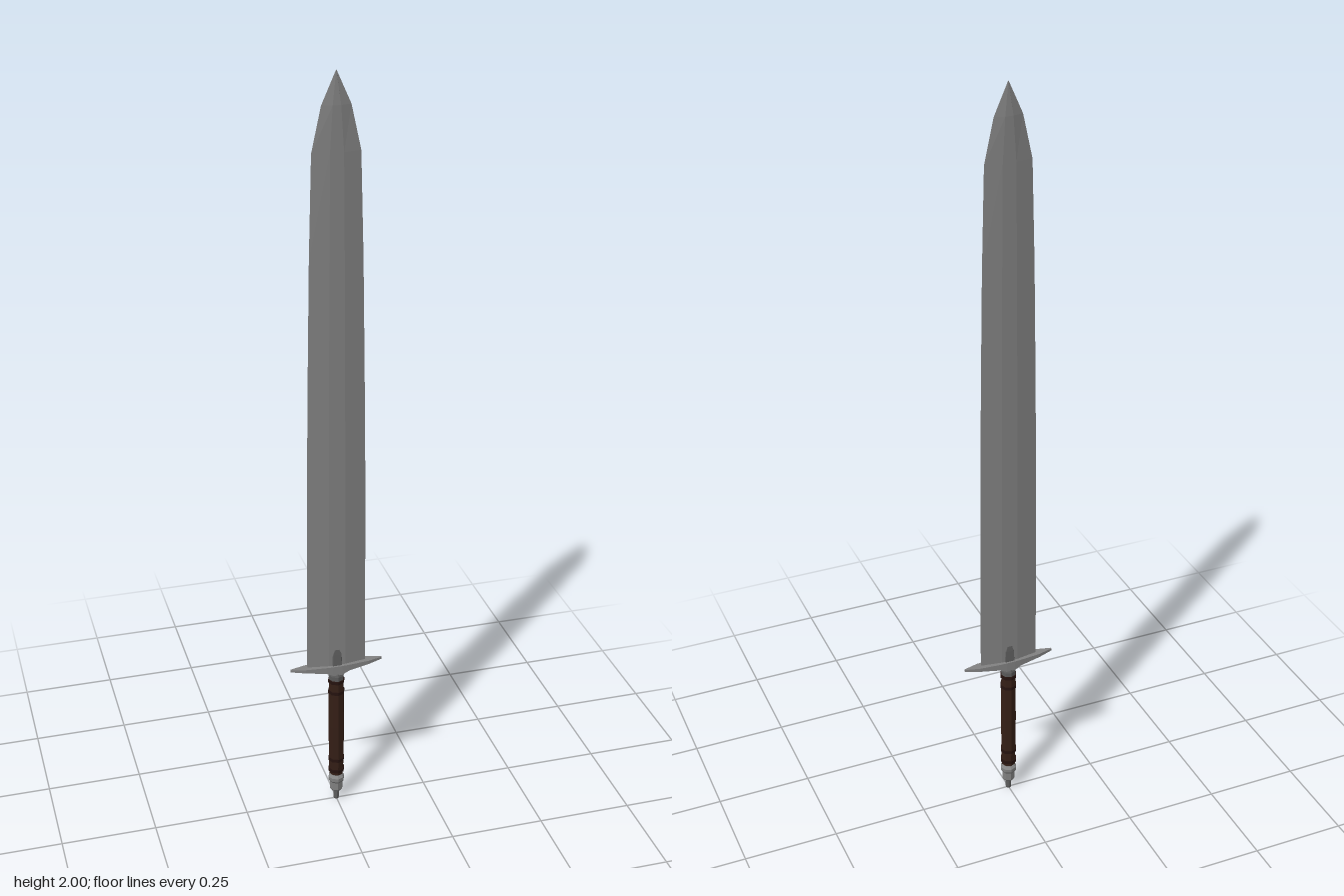
import * as THREE from 'three';

const material = (color) => new THREE.MeshStandardMaterial({ color, flatShading: true });
const steel = material(0x828282);
const darkSteel = material(0x5e5e5e);
const leather = material(0x351f16);
const binding = material(0x26130f);

// Skin a list of equal-length rings (counter-clockwise seen from the last ring) and cap both ends.
function loft(rings) {
  const n = rings[0].length;
  const index = [];
  for (let r = 0; r < rings.length - 1; r++) {
    for (let i = 0; i < n; i++) {
      const a = r * n + i, b = r * n + (i + 1) % n;
      index.push(a, b, b + n, a, b + n, a + n);
    }
  }
  const last = (rings.length - 1) * n;
  for (let i = 1; i < n - 1; i++) {
    index.push(0, i + 1, i, last, last + i, last + i + 1);
  }
  const geometry = new THREE.BufferGeometry();
  geometry.setAttribute('position', new THREE.Float32BufferAttribute(rings.flat(2), 3));
  geometry.setIndex(index);
  const flat = geometry.toNonIndexed();
  flat.computeVertexNormals();
  return flat;
}

// Six-sided section across y: sharp edges at +-w, flat centre of half-width f and half-depth d.
const bladeRing = (y, w, f, d) => [
  [w, y, 0], [f, y, -d], [-f, y, -d], [-w, y, 0], [-f, y, d], [f, y, d],
];

// Rectangular section across x for the guard.
const guardRing = (x, z, bottom, top) => [
  [x, bottom, z], [x, bottom, -z], [x, top, -z], [x, top, z],
];

export function createModel() {
  const sword = new THREE.Group();
  sword.name = 'sword';

  const add = (name, geometry, surface) => {
    const mesh = new THREE.Mesh(geometry, surface);
    mesh.name = name;
    sword.add(mesh);
    return mesh;
  };
  const turned = (name, profile, sides, surface) => add(name,
    new THREE.LatheGeometry(profile.map(([r, y]) => new THREE.Vector2(r, y)), sides), surface);

  // Blade: slow taper, then a leaf-shaped point
  const sections = [
    [0.42, 0.079, 0.009], [0.95, 0.076, 0.0085], [1.25, 0.072, 0.008], [1.55, 0.067, 0.0075],
    [1.81, 0.06, 0.007], [1.92, 0.036, 0.006], [2.0, 0.0005, 0.0005],
  ];
  add('blade', loft(sections.map(([y, w, d]) => bladeRing(y, w, w * 0.28, d))), steel);

  // Crossguard: flat on top, swelling downward to the middle
  const half = [[0.124, 0.002, 0.425], [0.085, 0.012, 0.421], [0.03, 0.017, 0.413], [0.012, 0.018, 0.404]];
  const guard = [
    ...half.map(([x, z, b]) => guardRing(-x, z, b, 0.431)),
    ...half.slice().reverse().map(([x, z, b]) => guardRing(x, z, b, 0.431)),
  ];
  add('crossguard', loft(guard), steel);

  // Small dark tongue clasping the blade above the guard
  add('bladeClasp', loft([
    bladeRing(0.425, 0.018, 0.012, 0.013),
    bladeRing(0.462, 0.016, 0.011, 0.011),
    bladeRing(0.477, 0.009, 0.006, 0.0095),
  ]), darkSteel);

  // Collar between grip and guard
  turned('collar', [[0, 0.385], [0.02, 0.385], [0.021, 0.398], [0.018, 0.408], [0.018, 0.422], [0, 0.422]], 8, darkSteel);

  // Grip with a slight swell
  turned('grip', [[0, 0.085], [0.019, 0.085], [0.0205, 0.14], [0.0215, 0.24], [0.021, 0.34], [0.0195, 0.39], [0, 0.39]], 8, leather);

  // Raised cords around the grip
  for (const y of [0.098, 0.133, 0.347, 0.38]) {
    const cord = add('gripCord', new THREE.CylinderGeometry(0.0222, 0.0222, 0.009, 8), binding);
    cord.position.y = y;
  }

  // Pommel
  turned('pommel', [
    [0, 0.028], [0.013, 0.028], [0.018, 0.036], [0.018, 0.058], [0.022, 0.064],
    [0.022, 0.074], [0.015, 0.08], [0.015, 0.09], [0, 0.09],
  ], 8, steel);

  // Tang button under the pommel
  turned('tangButton', [[0, 0], [0.007, 0], [0.008, 0.006], [0.008, 0.03], [0, 0.03]], 8, darkSteel);

  return sword;
}
